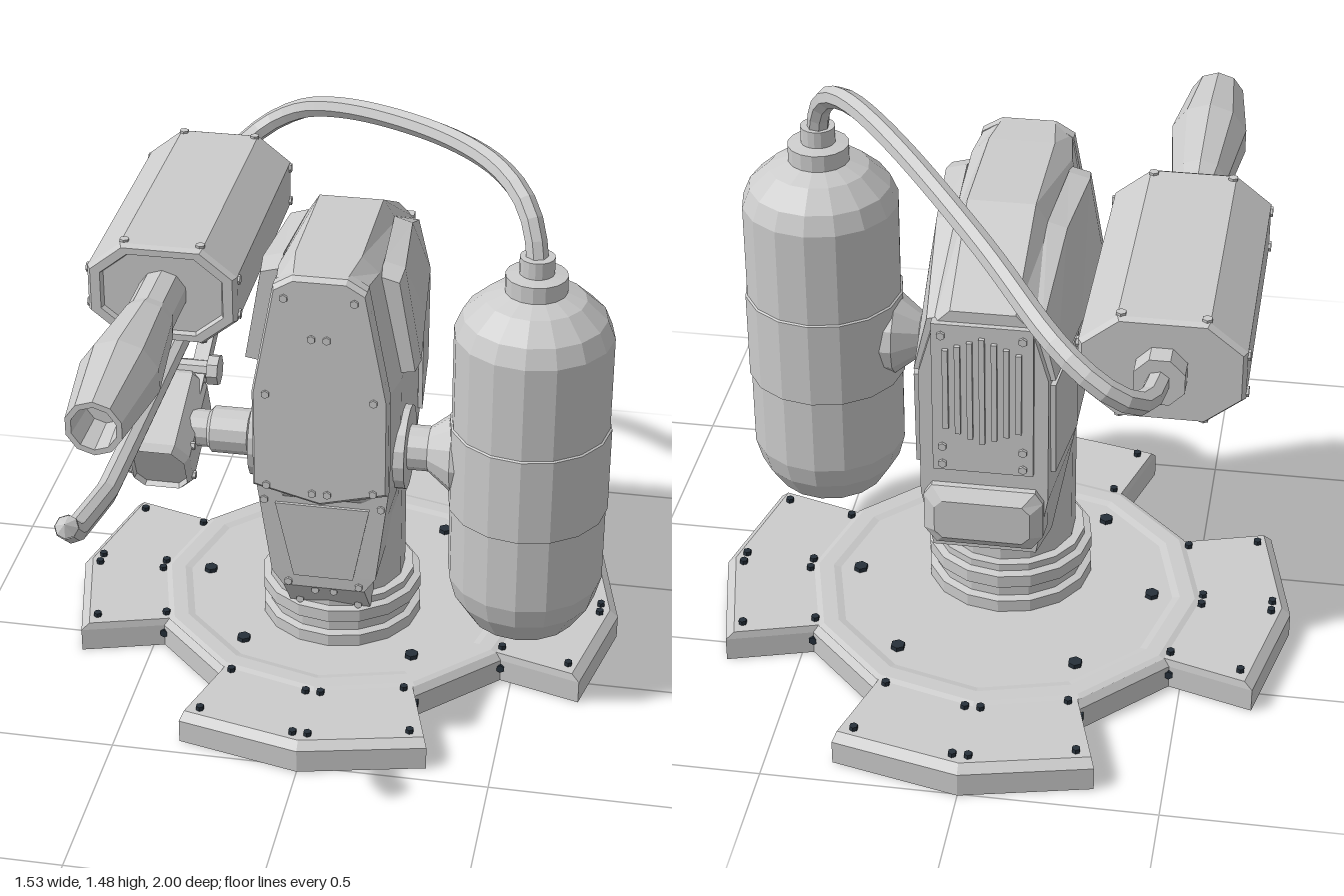
import * as THREE from 'three';

const grey = new THREE.MeshStandardMaterial({ color: 0xcccccc, flatShading: true });
const open = new THREE.MeshStandardMaterial({ color: 0xcccccc, flatShading: true, side: THREE.DoubleSide });
const dark = new THREE.MeshStandardMaterial({ color: 0x26303a, flatShading: true });
const V = (x, y, z) => new THREE.Vector3(x, y, z);

// Flat-faced skin over loops of equal length, with optional end caps
function loft(loops, capA = true, capB = true) {
  const p = [], n = loops[0].length;
  const tri = (...t) => t.forEach(v => p.push(v.x, v.y, v.z));
  for (let k = 0; k + 1 < loops.length; k++)
    for (let i = 0; i < n; i++) {
      const j = (i + 1) % n, [a, b] = [loops[k], loops[k + 1]];
      tri(a[i], a[j], b[j]); tri(a[i], b[j], b[i]);
    }
  const cap = (l, flip) => {
    const c = l.reduce((s, v) => s.add(v), V(0, 0, 0)).divideScalar(n);
    l.forEach((v, i) => flip ? tri(c, l[(i + 1) % n], v) : tri(c, v, l[(i + 1) % n]));
  };
  if (capA) cap(loops[0], true);
  if (capB) cap(loops[loops.length - 1], false);
  // turn the faces outward
  let vol = 0;
  for (let i = 0; i < p.length; i += 9)
    vol += V(p[i], p[i + 1], p[i + 2]).dot(V(p[i + 3], p[i + 4], p[i + 5]).cross(V(p[i + 6], p[i + 7], p[i + 8])));
  if (vol < 0) for (let i = 0; i < p.length; i += 9)
    for (let k = 0; k < 3; k++) [p[i + 3 + k], p[i + 6 + k]] = [p[i + 6 + k], p[i + 3 + k]];
  const g = new THREE.BufferGeometry();
  g.setAttribute('position', new THREE.Float32BufferAttribute(p, 3));
  g.computeVertexNormals();
  return g;
}
// Closed loop mirrored across x = cx from half points [x, y], at depth z
const mirrored = (half, z, cx = 0) => [
  ...half.map(([x, y]) => V(cx + x, y, z)), ...half.slice().reverse().map(([x, y]) => V(cx - x, y, z))];

export function createModel() {
  const root = new THREE.Group();
  const add = (name, geo, mat = grey, x = 0, y = 0, z = 0, parent = root) => {
    const m = new THREE.Mesh(geo, mat);
    m.name = name; m.position.set(x, y, z); parent.add(m);
    return m;
  };
  const lathe = (pts, n, phase = 0) => new THREE.LatheGeometry(pts.map(([r, y]) => new THREE.Vector2(r, y)), n, phase);
  const box = (name, w, h, d, x, y, z) => add(name, new THREE.BoxGeometry(w, h, d), grey, x, y, z);
  const aim = (m, axis) => {
    if (axis === 'x') m.rotation.z = -Math.PI / 2;
    if (axis === 'z') m.rotation.x = Math.PI / 2;
  };
  // Turned part along an axis; profile points are [radius, distance]
  const turned = (name, axis, pts, n, x, y, z, phase = 0) => aim(add(name, lathe(pts, n, phase), open, x, y, z), axis);
  const bolts = new THREE.Group(); bolts.name = 'bolts'; root.add(bolts);
  const bolt = (axis, x, y, z, r = 0.011, mat = grey) =>
    aim(add('bolt', new THREE.CylinderGeometry(r, r, 0.012, 6), mat, x, y, z, bolts), axis);
  const tube = (name, pts, r, n, seg, tension) => {
    const path = new THREE.CatmullRomCurve3(pts.map(p => V(...p)), false, 'catmullrom', tension);
    add(name, new THREE.TubeGeometry(path, seg, r, n), open);
  };

  // Hollow floor plate with four lobes
  const bz = -0.24;
  const lobe = [[0.47, -0.265], [0.69, -0.33], [0.765, 0], [0.69, 0.33], [0.47, 0.265]];
  const turn = [[1, 0], [0, 1], [-1, 0], [0, -1]];
  const outline = (y, s) => turn.flatMap(([c, d]) =>
    lobe.map(([a, b]) => V((a * c - b * d) * s, y, bz + (a * d + b * c) * s)));
  add('basePlate', loft([outline(0, 1), outline(0.065, 1), outline(0.085, 0.97)], false, true), open);
  add('baseRing', lathe([[0.525, 0.086], [0.51, 0.091], [0.47, 0.091], [0.45, 0.086]], 12), open, 0, 0, bz);
  add('baseInnerRim', lathe([[0.525, 0.045], [0.5, 0.082]], 12), open, 0, 0, bz);
  turn.forEach(([c, d], k) => {
    for (const s of [1, -1]) {
      for (const [a, b] of [[0.715, 0.02], [0.53, 0.02], [0.655, 0.28], [0.47, 0.235]])
        bolt('y', a * c - b * s * d, 0.091, bz + a * d + b * s * c, 0.011, dark);
      bolt(k % 2 ? 'x' : 'z', 0.47 * c - 0.268 * s * d, 0.042, bz + 0.47 * d + 0.268 * s * c, 0.012, dark);
    }
  });
  for (const a of [0, 54, 126, 180, 234, 306])
    bolt('y', 0.395 * Math.cos(a * Math.PI / 180), 0.092, bz + 0.395 * Math.sin(a * Math.PI / 180), 0.019, dark);

  // Turntable and column
  const cz = -0.15;
  add('turntable', lathe([[0.22, 0.086], [0.22, 0.12], [0.2, 0.125], [0.2, 0.16], [0.22, 0.165], [0.22, 0.2],
    [0.2, 0.205], [0.2, 0.225], [0, 0.225]], 16), open, 0, 0, cz);
  add('column', new THREE.CylinderGeometry(0.175, 0.175, 0.4, 14), grey, 0, 0.42, cz);
  const rect = (w, y, z0, z1) => [V(w, y, z0), V(w, y, z1), V(-w, y, z1), V(-w, y, z0)];
  add('columnFoot', loft([rect(0.11, 0.205, -0.1, 0.035), rect(0.11, 0.315, -0.1, 0.13)]));
  add('chin', loft([rect(0.11, 0.315, -0.2, 0.13), rect(0.14, 0.36, -0.22, 0.133), rect(0.175, 0.64, -0.25, 0.15)]));
  const chinPanel = add('chinPanel', loft([rect(0.08, -0.11, -0.01, 0.01), rect(0.125, 0.12, -0.01, 0.01)]), grey, 0, 0.465, 0.137);
  chinPanel.rotation.x = 0.06;
  for (const s of [1, -1]) {
    bolt('z', s * 0.025, 0.3, 0.118); bolt('z', s * 0.08, 0.22, 0.05);
    bolt('z', s * 0.095, 0.33, 0.133); bolt('z', s * 0.155, 0.59, 0.148);
  }

  // Torso
  add('torso', loft([
    mirrored([[0.07, 1.27], [0.115, 1.24], [0.17, 0.93], [0.17, 0.66], [0.1, 0.62]], 0.16),
    mirrored([[0.085, 1.273], [0.13, 1.23], [0.19, 0.93], [0.188, 0.62], [0.15, 0.48]], 0.05),
    mirrored([[0.085, 1.275], [0.12, 1.22], [0.185, 0.95], [0.185, 0.6], [0.13, 0.31]], -0.28),
    mirrored([[0.08, 1.13], [0.12, 1.09], [0.16, 0.95], [0.16, 0.6], [0.13, 0.44]], -0.57)]));
  const plate = k => [[0.07, 1.27], [0.12, 1.24], [0.178, 0.93], [0.178, 0.65], [0.002, 0.605]]
    .map(([x, y]) => [x * k, 0.94 + (y - 0.94) * k]);
  add('frontPlate', loft([mirrored(plate(1), 0.145), mirrored(plate(1), 0.175), mirrored(plate(0.965), 0.187)]));
  for (const s of [1, -1])
    for (const [x, y] of [[0.02, 1.1], [0.09, 1.21], [0.14, 0.93], [0.14, 0.66], [0.02, 0.645]]) bolt('z', s * x, y, 0.188);

  // Shoulder plates and raised side panels
  for (const s of [1, -1]) {
    const wing = (z, k, drop) => [[0.13, 1.23], [0.185, 1.215], [0.23, 0.95], [0.17, 0.94]]
      .map(([x, y]) => V(s * x * k, y - drop * (y - 0.94), z));
    add('shoulderPlate', loft([wing(0.04, 0.97, 0.05), wing(-0.02, 1, 0), wing(-0.28, 0.88, 0), wing(-0.55, 0.76, 0.45)]));
    const side = k => [[-0.29, 0.93, 0.186], [-0.55, 0.93, 0.165], [-0.54, 0.67, 0.165], [-0.29, 0.65, 0.186]]
      .map(([z, y, x]) => V(s * (x + k), y, z));
    add('sidePanel', loft([side(-0.02), side(0.01)]));
  }

  // Rear vent and lower rear housing
  box('ventFrame', 0.25, 0.42, 0.03, 0, 0.89, -0.57);
  for (let i = 0; i < 7; i++)
    box('ventSlat', 0.014, 0.3 - Math.abs(i - 3) * 0.025, 0.025, (i - 3) * 0.03, 0.92, -0.583);
  add('rearHousing', loft([
    mirrored([[0.13, 0.64], [0.15, 0.6], [0.15, 0.48], [0.12, 0.45]], -0.5),
    mirrored([[0.13, 0.63], [0.15, 0.6], [0.15, 0.5], [0.12, 0.46]], -0.585),
    mirrored([[0.1, 0.6], [0.12, 0.58], [0.12, 0.51], [0.1, 0.49]], -0.61)]));
  for (const s of [1, -1]) for (const y of [0.7, 0.75, 1.07]) bolt('z', s * 0.1, y, -0.587);

  // Side pivots
  const py = 0.7;
  for (const s of [1, -1]) turned('pivotFlange', 'x', [[0, -0.017], [0.113, -0.017], [0.113, 0.017], [0, 0.017]], 16, s * 0.19, py, 0);
  turned('armShaft', 'x', [[0.05, -0.38], [0.05, -0.33], [0.062, -0.32], [0.062, -0.22], [0.05, -0.215], [0.05, -0.17]], 12, 0, py, 0);
  turned('tankMount', 'x', [[0.06, 0.17], [0.06, 0.26], [0.11, 0.325], [0.11, 0.36]], 12, 0, py, 0);

  // Fuel tank
  const tx = 0.523, tz = 0.012;
  add('tank', lathe([[0, 0.18], [0.08, 0.187], [0.145, 0.23], [0.19, 0.3], [0.206, 0.36], [0.206, 1.08],
    [0.185, 1.13], [0.13, 1.18], [0.08, 1.2], [0.08, 1.245], [0.045, 1.25], [0.045, 1.295], [0, 1.295]], 16), open, tx, 0, tz);
  add('tankBand', lathe([[0.203, 0.57], [0.211, 0.575], [0.211, 0.815], [0.203, 0.82]], 16), open, tx, 0, tz);

  // Hose from tank to the rear of the gun
  tube('hose', [[tx, 1.28, tz], [0.505, 1.365, -0.02], [0.455, 1.43, -0.085], [0.36, 1.455, -0.2], [0.2, 1.43, -0.39],
    [-0.02, 1.355, -0.65], [-0.2, 1.265, -0.86], [-0.31, 1.2, -0.93], [-0.39, 1.145, -0.92], [-0.43, 1.115, -0.86],
    [-0.445, 1.105, -0.74]], 0.029, 7, 32, 0.5);

  // Gun housing
  const gx = -0.445, gy = 1.1;
  const oct = (z, k) => mirrored([[0.108, 0.135], [0.198, 0.063], [0.198, -0.063], [0.108, -0.135]]
    .map(([x, y]) => [x * k, gy + y * k]), z, gx);
  add('gunHousing', loft([oct(-0.715, 0.95), oct(-0.7, 1), oct(0.01, 1), oct(0.025, 0.95), oct(0.025, 0.82), oct(0.01, 0.79)]));
  for (const z of [-0.69, -0.005]) for (const s of [1, -1]) for (const t of [1, -1]) {
    bolt('y', gx + s * 0.1, gy + t * 0.135, z, 0.013);
    bolt('x', gx + s * 0.198, gy + t * 0.05, z, 0.013);
  }
  turned('hoseSocket', 'z', [[0, -0.77], [0.065, -0.77], [0.065, -0.7]], 8, gx, gy + 0.005, 0, Math.PI / 8);
  turned('barrel', 'z', [[0.065, -0.01], [0.065, 0.16], [0.075, 0.2], [0.104, 0.46],
    [0.073, 0.715], [0.058, 0.715], [0.05, 0.6], [0, 0.6]], 10, gx, gy, 0);

  // Igniter rod under the barrel, bent up at the tip
  tube('igniterRod', [[gx, 0.872, -0.22], [gx, 0.872, 0.2], [gx, 0.872, 0.63], [gx, 0.94, 0.92], [gx, 0.99, 0.98]], 0.029, 8, 40, 0.05);
  add('igniterTip', new THREE.ConeGeometry(0.029, 0.025, 8), grey, gx, 0.998, 0.985).rotation.x = 0.8;

  // Gun cradle: fork sloping forward from the housing, hinge and tilted joint block
  const hinge = [0.805, -0.13];
  for (const s of [1, -1]) {
    const strut = (y, a, b, z) => [V(gx + s * a, y, z - 0.05), V(gx + s * b, y, z - 0.05), V(gx + s * b, y, z + 0.05), V(gx + s * a, y, z + 0.05)];
    add('forkArm', loft([strut(0.98, 0.05, 0.09, -0.38), strut(0.93, 0.05, 0.09, -0.32), strut(0.76, 0.035, 0.075, -0.1)]));
    turned('hingeCap', 'x', [[0, -0.015], [0.042, -0.015], [0.042, 0.015], [0, 0.015]], 8, gx + s * 0.1, ...hinge);
  }
  box('forkBridge', 0.17, 0.03, 0.2, gx, 0.955, -0.36);
  turned('hingePin', 'x', [[0.025, -0.11], [0.025, 0.11]], 8, gx, ...hinge);
  const joint = (z, k) => mirrored([[0.05, 0.09], [0.085, 0.045], [0.085, -0.055], [0.055, -0.09]]
    .map(([x, y]) => [x * k, y * k]), z);
  const block = add('jointBlock', loft([joint(-0.14, 0.85), joint(-0.12, 1), joint(0.12, 1), joint(0.14, 0.85), joint(0.125, 0.8)]),
    grey, gx, 0.683, -0.01);
  block.rotation.x = 0.4;
  for (const s of [1, -1]) for (const y of [0.6, 0.69]) bolt('x', gx + s * 0.086, y, 0.08);

  return root;
}
